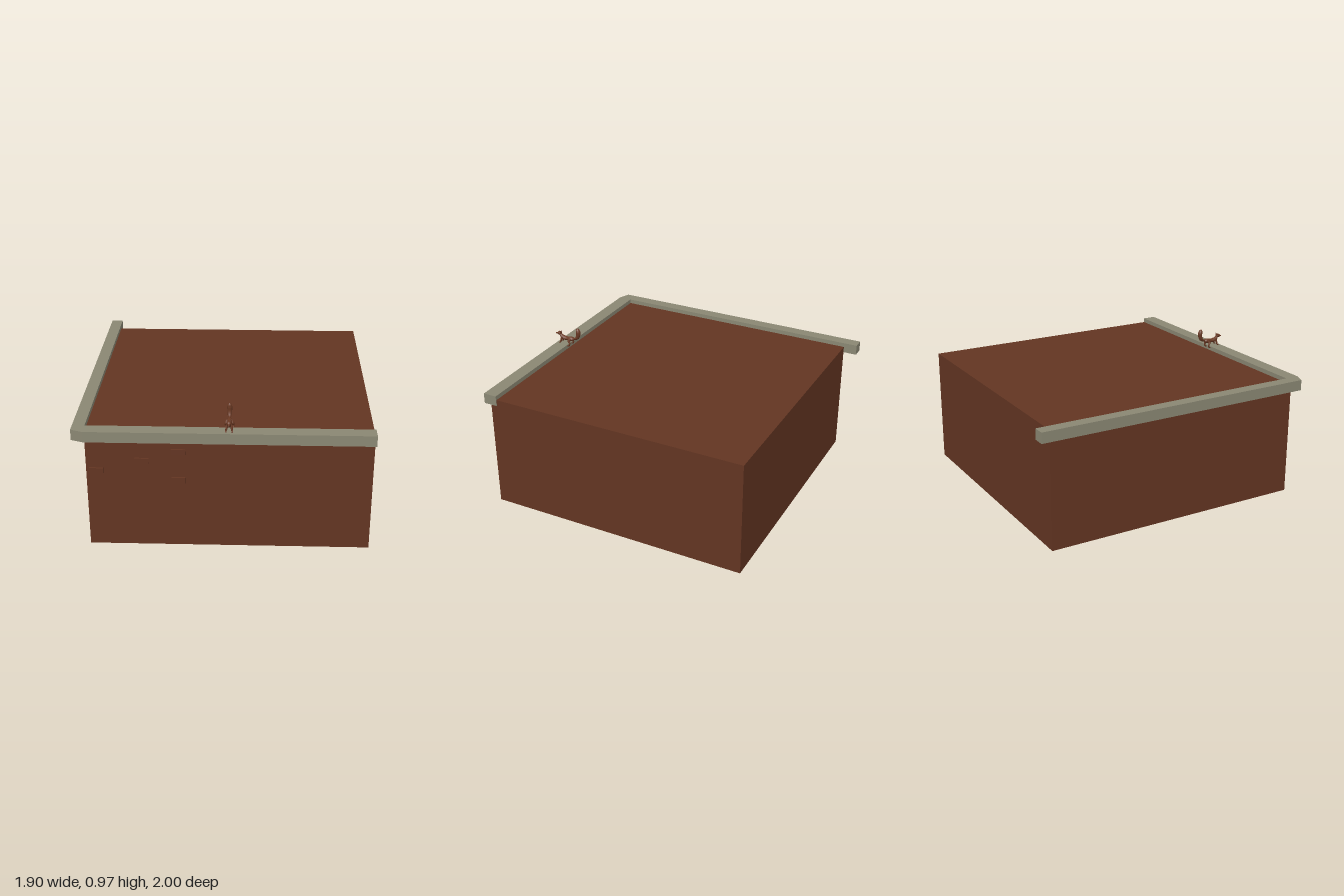
import * as THREE from 'three';

const brick = new THREE.MeshStandardMaterial({ name: 'brick brown', color: 0x633522 });
const stone = new THREE.MeshStandardMaterial({ name: 'stone grey', color: 0x8a8773 });
const fur = new THREE.MeshStandardMaterial({ name: 'fur brown', color: 0x6b3a24 });

function add(parent, name, geometry, material, x = 0, y = 0, z = 0) {
  const mesh = new THREE.Mesh(geometry, material);
  mesh.name = name;
  mesh.position.set(x, y, z);
  parent.add(mesh);
  return mesh;
}

// Box given by its lower and upper corners
function box(parent, name, material, a, b) {
  const size = b.map((v, i) => v - a[i]);
  return add(parent, name, new THREE.BoxGeometry(...size), material, ...a.map((v, i) => v + size[i] / 2));
}

// Smooth limb: each point is [x, y, z, radius]
function limb(points, sides = 10, steps = 20) {
  const curve = new THREE.CatmullRomCurve3(points.map(p => new THREE.Vector3(p[0], p[1], p[2])));
  const geometry = new THREE.TubeGeometry(curve, steps, 1, sides);
  const pos = geometry.attributes.position;
  const v = new THREE.Vector3();
  for (let i = 0; i <= steps; i++) {
    const centre = curve.getPointAt(i / steps);
    const t = curve.getUtoTmapping(i / steps) * (points.length - 1);
    const k = Math.min(Math.floor(t), points.length - 2);
    const radius = THREE.MathUtils.lerp(points[k][3], points[k + 1][3], t - k);
    for (let j = 0; j <= sides; j++) {
      const n = i * (sides + 1) + j;
      v.fromBufferAttribute(pos, n).sub(centre).multiplyScalar(radius).add(centre);
      pos.setXYZ(n, v.x, v.y, v.z);
    }
  }
  geometry.computeVertexNormals();
  return geometry;
}

function createFox() {
  const fox = new THREE.Group();
  fox.name = 'fox';
  fox.position.x = 0.037;

  // Body, neck and head
  add(fox, 'body', limb([
    [0, 0.880, 0.843, 0.001], [0, 0.876, 0.853, 0.015], [0, 0.874, 0.875, 0.018],
    [0, 0.872, 0.905, 0.014], [0, 0.875, 0.935, 0.017], [0, 0.888, 0.952, 0.012], [0, 0.898, 0.962, 0.008],
  ]), fur);
  add(fox, 'head', limb([
    [0, 0.904, 0.950, 0.001], [0, 0.903, 0.956, 0.014], [0, 0.902, 0.970, 0.014],
    [0, 0.899, 0.982, 0.007], [0, 0.897, 0.998, 0.003], [0, 0.897, 1.0, 0.0005],
  ]), fur);

  // Bushy raised tail
  add(fox, 'tail', limb([
    [0, 0.880, 0.855, 0.005], [0, 0.882, 0.836, 0.008], [0, 0.892, 0.818, 0.013],
    [0, 0.915, 0.807, 0.015], [0, 0.940, 0.806, 0.017], [0, 0.960, 0.811, 0.012], [0, 0.970, 0.813, 0.001],
  ]), fur);

  for (const s of [-1, 1]) {
    const ear = add(fox, 'ear', new THREE.ConeGeometry(0.006, 0.020, 6), fur, s * 0.009, 0.918, 0.957);
    ear.rotation.z = -s * 0.25;
    // Legs
    add(fox, 'frontLeg', limb([
      [s * 0.010, 0.880, 0.938, 0.011], [s * 0.016, 0.860, 0.945, 0.007],
      [s * 0.019, 0.842, 0.950, 0.005], [s * 0.020, 0.837, 0.958, 0.005], [s * 0.020, 0.836, 0.963, 0.001],
    ], 8, 12), fur);
    add(fox, 'hindLeg', limb([
      [s * 0.010, 0.878, 0.868, 0.012], [s * 0.021, 0.862, 0.878, 0.010], [s * 0.026, 0.848, 0.868, 0.006],
      [s * 0.026, 0.829, 0.874, 0.005], [s * 0.026, 0.826, 0.884, 0.005], [s * 0.026, 0.825, 0.890, 0.001],
    ], 8, 14), fur);
  }
  return fox;
}

export function createModel() {
  const model = new THREE.Group();
  model.name = 'rooftop';

  // Main block
  box(model, 'building', brick, [-0.87, 0, -0.905], [0.945, 0.805, 0.93]);

  // Ledge along the front and one side, with a clipped corner
  const plan = [[-0.95, -1], [-0.87, -1], [-0.87, 0.885], [0.95, 0.885], [0.95, 0.98], [-0.87, 0.98], [-0.95, 0.95]];
  const ledge = new THREE.ExtrudeGeometry(
    new THREE.Shape(plan.map(([x, z]) => new THREE.Vector2(x, z))),
    { depth: 0.072, bevelEnabled: false },
  );
  ledge.rotateX(Math.PI / 2);
  add(model, 'ledge', ledge, stone, 0, 0.835, 0);

  // Raised bricks on the front wall
  for (const [x, y] of [[-0.805, 0.543], [-0.515, 0.616], [-0.283, 0.681], [-0.283, 0.482]]) {
    box(model, 'raisedBrick', brick, [x - 0.045, y - 0.019, 0.92], [x + 0.045, y + 0.019, 0.943]);
  }

  model.add(createFox());
  return model;
}
